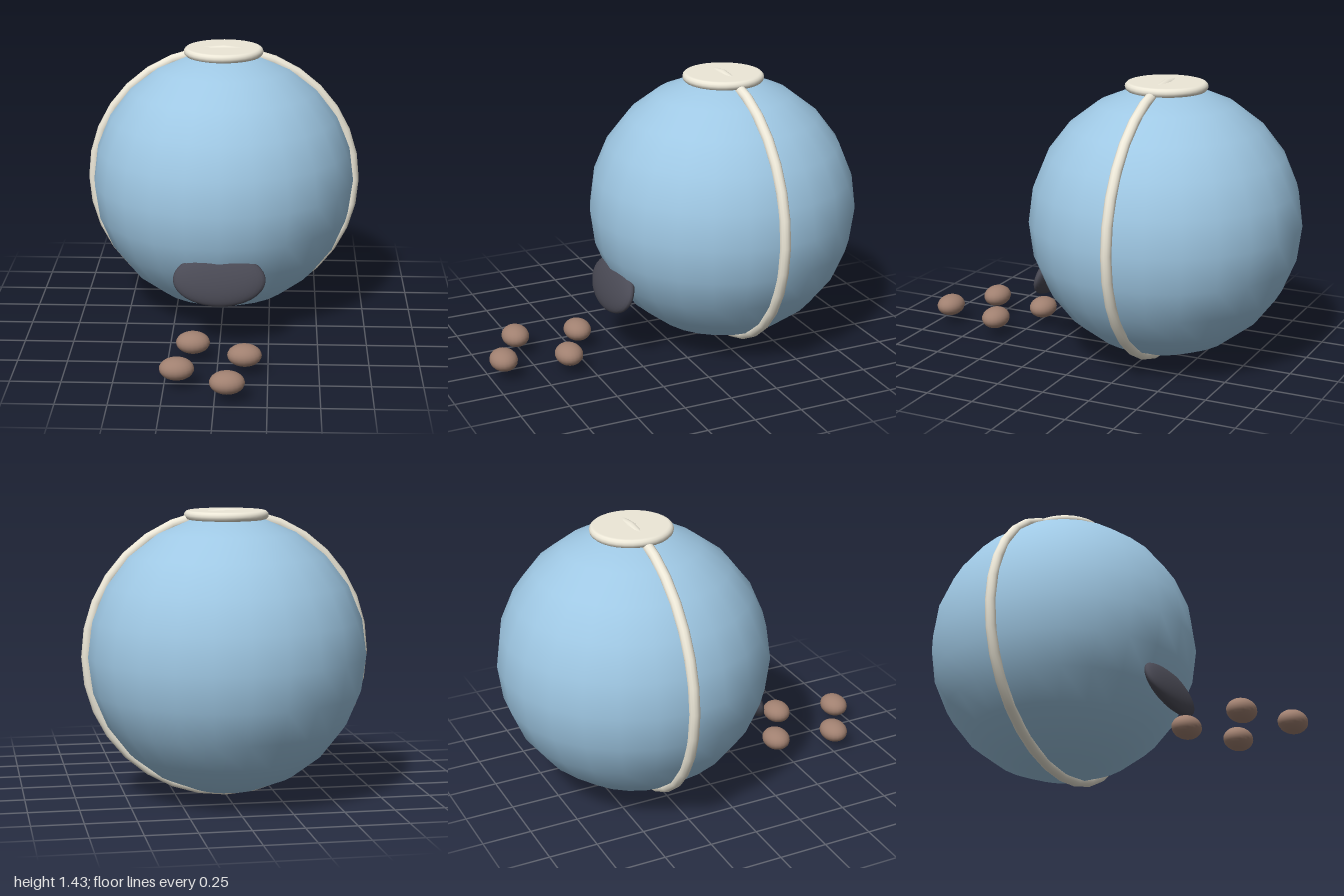
import * as THREE from 'three';

const mat = (color) => new THREE.MeshStandardMaterial({ color });

export function createModel() {
  const group = new THREE.Group();
  const blue = mat(0x9fc8e4), cream = mat(0xede8d8), dark = mat(0x4a4a55), brown = mat(0xa08070);

  const add = (name, geometry, material, x, y, z) => {
    const mesh = new THREE.Mesh(geometry, material);
    mesh.name = name;
    mesh.position.set(x, y, z);
    group.add(mesh);
    return mesh;
  };

  const cy = 0.7175, cz = -0.312, r = 0.69;

  // Ball body and the seam ring around it
  add('ballBody', new THREE.SphereGeometry(r, 24, 12), blue, 0, cy, cz);
  add('seamRing', new THREE.TorusGeometry(r, 0.0275, 12, 32), cream, 0, cy, cz);

  // Round cap: flat disc inside a rounded rim
  const capR = 0.185, capT = 0.0225, capY = 1.402;
  add('capDisc', new THREE.CylinderGeometry(capR, capR, capT * 2, 32), cream, 0, capY, cz);
  add('capRim', new THREE.TorusGeometry(capR, capT, 12, 32), cream, 0, capY, cz).rotation.x = Math.PI / 2;

  // Dispensing opening: tilted, flattened ellipsoid sunk into the ball
  const opening = add('opening', new THREE.SphereGeometry(1, 32, 20), dark, 0, 0.37, 0.307);
  opening.scale.set(0.233, 0.135, 0.05);
  opening.rotation.x = -THREE.MathUtils.degToRad(20);

  // Scattered treats in front
  const treat = new THREE.SphereGeometry(1, 20, 14);
  [[-0.125, 0.46], [0.135, 0.608], [-0.187, 0.78], [0.06, 0.93]].forEach(([x, z], i) => {
    add('treat' + (i + 1), treat, brown, x, 0.094, z).scale.set(0.085, 0.055, 0.07);
  });

  return group;
}
